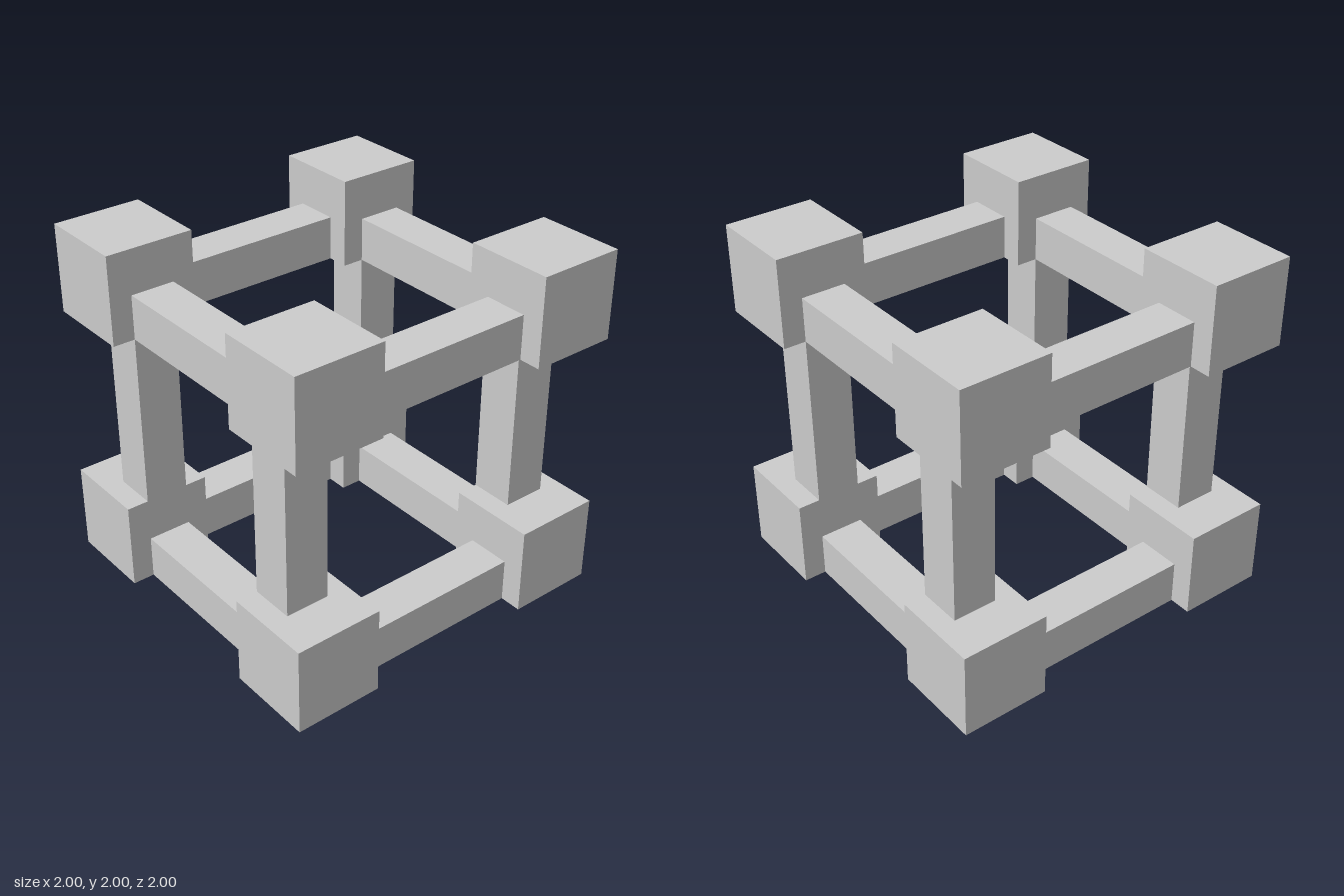
import * as THREE from 'three';

export function createModel() {
  const model = new THREE.Group();
  model.name = 'cubeFrame';
  const material = new THREE.MeshStandardMaterial({ color: 0xcccccc, flatShading: true });

  const CUBE = 0.5;   // corner block edge
  const BAR = 0.25;   // bar thickness
  const SPAN = 1;     // gap between corner blocks

  const cubeGeometry = new THREE.BoxGeometry(CUBE, CUBE, CUBE);
  const barXGeometry = new THREE.BoxGeometry(SPAN, BAR, BAR);
  const barYGeometry = new THREE.BoxGeometry(BAR, SPAN, BAR);
  const barZGeometry = new THREE.BoxGeometry(BAR, BAR, SPAN);

  function add(name, geometry, x, y, z) {
    const mesh = new THREE.Mesh(geometry, material);
    mesh.name = name;
    mesh.position.set(x, y, z);
    model.add(mesh);
  }

  // Lower and upper rings: horizontal bars rest level with the underside of the blocks
  for (const [level, base] of [['lower', 0], ['upper', 1.5]]) {
    for (const s of [-1, 1]) {
      const side = s > 0 ? 'Left' : 'Right';
      const end = s > 0 ? 'Front' : 'Back';
      add(`${level}${end}Beam`, barXGeometry, 0, base + BAR / 2, s * 0.75);
      add(`${level}${side}Beam`, barZGeometry, s * 0.75, base + BAR / 2, 0);
      for (const t of [-1, 1]) {
        add(`${level}${t > 0 ? 'Front' : 'Back'}${side}Block`, cubeGeometry, s * 0.75, base + CUBE / 2, t * 0.75);
      }
    }
  }

  // Upright posts: flush with the inner x faces of the blocks, centred on them in z
  for (const sx of [-1, 1]) {
    for (const sz of [-1, 1]) {
      add(`${sz > 0 ? 'front' : 'back'}${sx > 0 ? 'Left' : 'Right'}Post`, barYGeometry, sx * 0.625, 1, sz * 0.75);
    }
  }

  return model;
}
